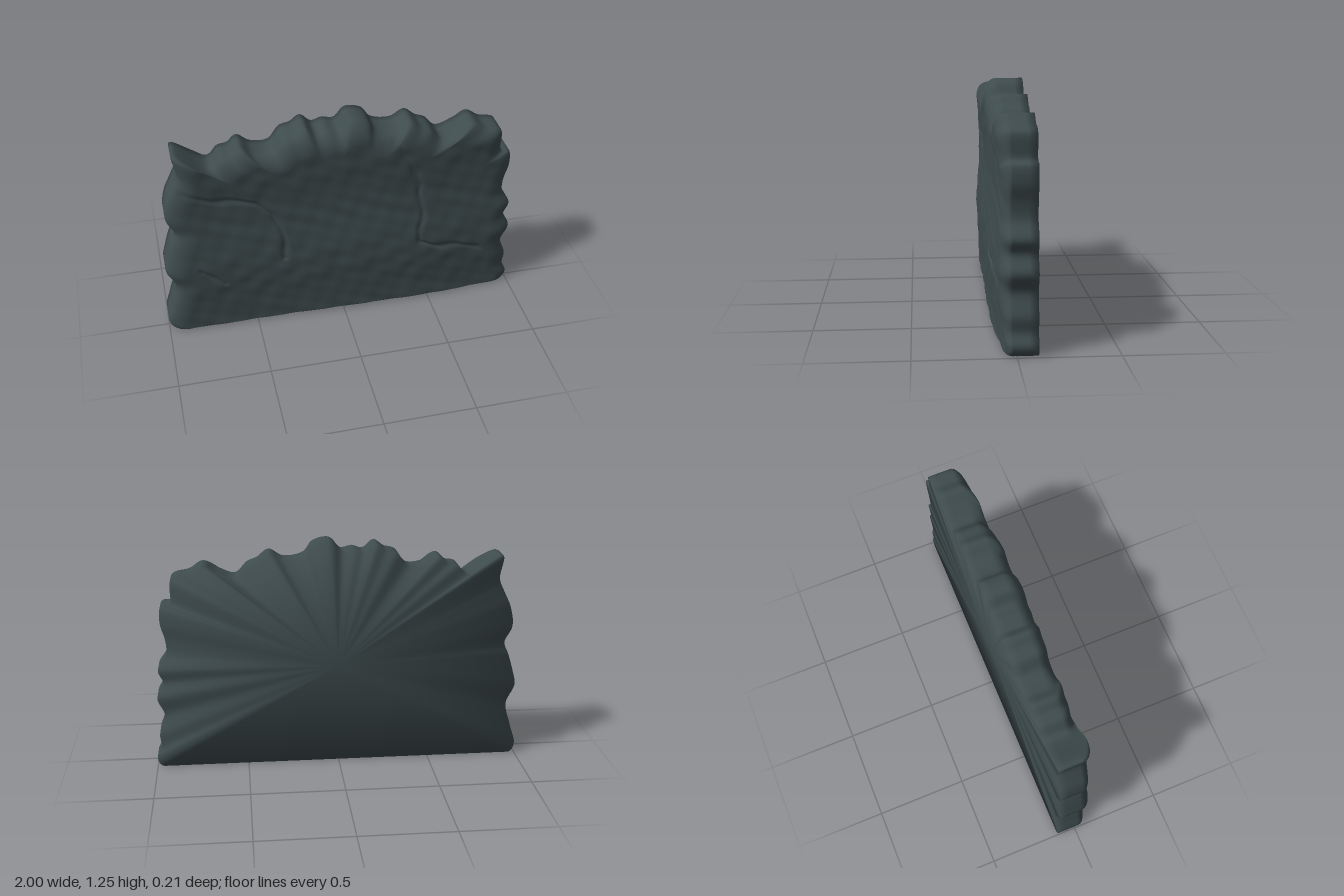
import * as THREE from 'three';

const AROUND = 480, FRONT_RINGS = 75, BACK_Z = -0.105, RIM_Z = 0.02;
const CENTRE = new THREE.Vector2(0, 0.55);

// Ragged outline, from the bottom right corner up, over the top and down the left
const OUTLINE = [
  [-0.97, 0], [-1, 0.05], [-0.97, 0.17], [-0.94, 0.3], [-0.985, 0.41], [-0.97, 0.49], [-0.94, 0.59],
  [-0.915, 0.66], [-0.955, 0.75], [-0.94, 0.86], [-0.9, 0.95], [-0.872, 1.02], [-0.885, 1.15],
  [-0.7, 1.045], [-0.64, 1.1], [-0.59, 1.11], [-0.54, 1.15], [-0.47, 1.105], [-0.375, 1.1],
  [-0.31, 1.175], [-0.255, 1.19], [-0.2, 1.225], [-0.14, 1.18], [-0.085, 1.195], [-0.02, 1.185],
  [0.04, 1.243], [0.13, 1.225], [0.18, 1.165], [0.29, 1.147], [0.365, 1.185], [0.43, 1.14],
  [0.48, 1.12], [0.545, 1.06], [0.64, 1.09], [0.715, 1.13], [0.785, 1.09], [0.88, 1.06],
  [0.893, 0.925], [0.94, 0.915], [0.95, 0.83], [0.925, 0.725], [0.925, 0.645], [0.973, 0.56],
  [0.947, 0.485], [0.984, 0.4], [0.947, 0.3], [0.98, 0.19], [0.973, 0.11], [1, 0.05], [0.97, 0],
  [0.5, 0], [0, 0], [-0.5, 0],
];

// Hairline cracks on the front
const CRACKS = [
  [[-0.87, 0.92], [-0.71, 0.875], [-0.6, 0.845], [-0.47, 0.82], [-0.39, 0.74], [-0.35, 0.635], [-0.325, 0.44]],
  [[0.27, 1.11], [0.36, 0.94], [0.42, 0.8], [0.44, 0.62], [0.43, 0.42], [0.55, 0.375], [0.8, 0.31]],
  [[-0.8, 0.41], [-0.67, 0.31]],
];

function crackDistance(x, y) {
  let best = 9;
  for (const path of CRACKS) {
    for (let i = 0; i + 1 < path.length; i++) {
      const [ax, ay] = path[i], dx = path[i + 1][0] - ax, dy = path[i + 1][1] - ay;
      const t = THREE.MathUtils.clamp(((x - ax) * dx + (y - ay) * dy) / (dx * dx + dy * dy), 0, 1);
      best = Math.min(best, Math.hypot(x - ax - t * dx, y - ay - t * dy));
    }
  }
  return best;
}

// Height of the weathered front face
function frontZ(x, y) {
  const swell = 0.089 + 0.008 * Math.cos((y - 0.4) * 8.5) + 0.006 * Math.sin(x * 3.2 + 0.6)
    - 0.018 * THREE.MathUtils.smoothstep(x, 0.4, 0.95);
  const lumps = 0.0022 * Math.sin(x * 17 + 3 * Math.sin(y * 9)) * Math.sin(y * 21 + 2 * Math.sin(x * 7))
    + 0.0012 * Math.sin(x * 39 + y * 23) * Math.sin(y * 43 - x * 15);
  const wobble = 0.008 * Math.sin(x * 31 + y * 27);
  const crack = 0.009 * Math.exp(-((crackDistance(x + wobble, y + wobble) / 0.013) ** 2));
  return swell + lumps - crack;
}

// Rim point moved towards the centre, hardly at all upwards along the base
function inset(p, distance) {
  const dir = p.clone().sub(CENTRE).normalize();
  const up = dir.y < 0 ? 0.12 : 1;
  return new THREE.Vector2(p.x - dir.x * distance, p.y - dir.y * distance * up);
}

function slabGeometry() {
  const curve = new THREE.CatmullRomCurve3(OUTLINE.map(([x, y]) => new THREE.Vector3(x, y, 0)), true, 'centripetal');
  curve.arcLengthDivisions = 2000;
  const rim = curve.getSpacedPoints(AROUND).slice(0, AROUND)
    .map((p) => new THREE.Vector2(THREE.MathUtils.clamp(p.x, -1, 1), Math.max(0, p.y)));

  // Closed rings from the back centre, round the edge, to the front centre
  const rings = [rim.map(() => [CENTRE.x, CENTRE.y, BACK_Z])];
  for (const z of [BACK_Z, -0.06, -0.02]) rings.push(rim.map((p) => [p.x, p.y, z]));
  for (let k = 0; k <= 8; k++) {
    const a = (k / 8) * Math.PI / 2;
    rings.push(rim.map((p) => {
      const q = inset(p, 0.12 * (1 - Math.cos(a)));
      return [q.x, q.y, RIM_Z + (frontZ(q.x, q.y) - RIM_Z) * Math.sin(a)];
    }));
  }
  for (let k = 1; k <= FRONT_RINGS; k++) {
    rings.push(rim.map((p) => {
      const q = inset(p, 0.12).lerp(CENTRE, k / FRONT_RINGS);
      return [q.x, q.y, frontZ(q.x, q.y)];
    }));
  }

  const index = [];
  for (let i = 0; i + 1 < rings.length; i++) {
    for (let j = 0; j < AROUND; j++) {
      const a = i * AROUND + j, b = i * AROUND + (j + 1) % AROUND;
      const c = a + AROUND, d = b + AROUND;
      if (i > 0) index.push(a, c, b);
      if (i + 2 < rings.length) index.push(b, c, d);
      else index.push(a, c, b);
      if (i + 2 === rings.length) index.splice(-3);
    }
  }
  const geometry = new THREE.BufferGeometry();
  geometry.setAttribute('position', new THREE.Float32BufferAttribute(rings.flat(2), 3));
  geometry.setIndex(index);
  geometry.computeVertexNormals();

  // Soft shading over the back edge, fanning out from the back centre
  const normals = geometry.attributes.normal, n = new THREE.Vector3();
  for (let j = 0; j < AROUND; j++) {
    normals.setXYZ(j, 0, 0, -1);
    n.fromBufferAttribute(normals, 2 * AROUND + j);
    n.z -= 1;
    n.normalize();
    normals.setXYZ(AROUND + j, n.x, n.y, n.z);
  }
  return geometry;
}

export function createModel() {
  const group = new THREE.Group();
  group.name = 'stoneSlab';
  const slab = new THREE.Mesh(slabGeometry(), new THREE.MeshStandardMaterial({ color: 0x3f4c4e }));
  slab.name = 'slab';
  group.add(slab);
  return group;
}
